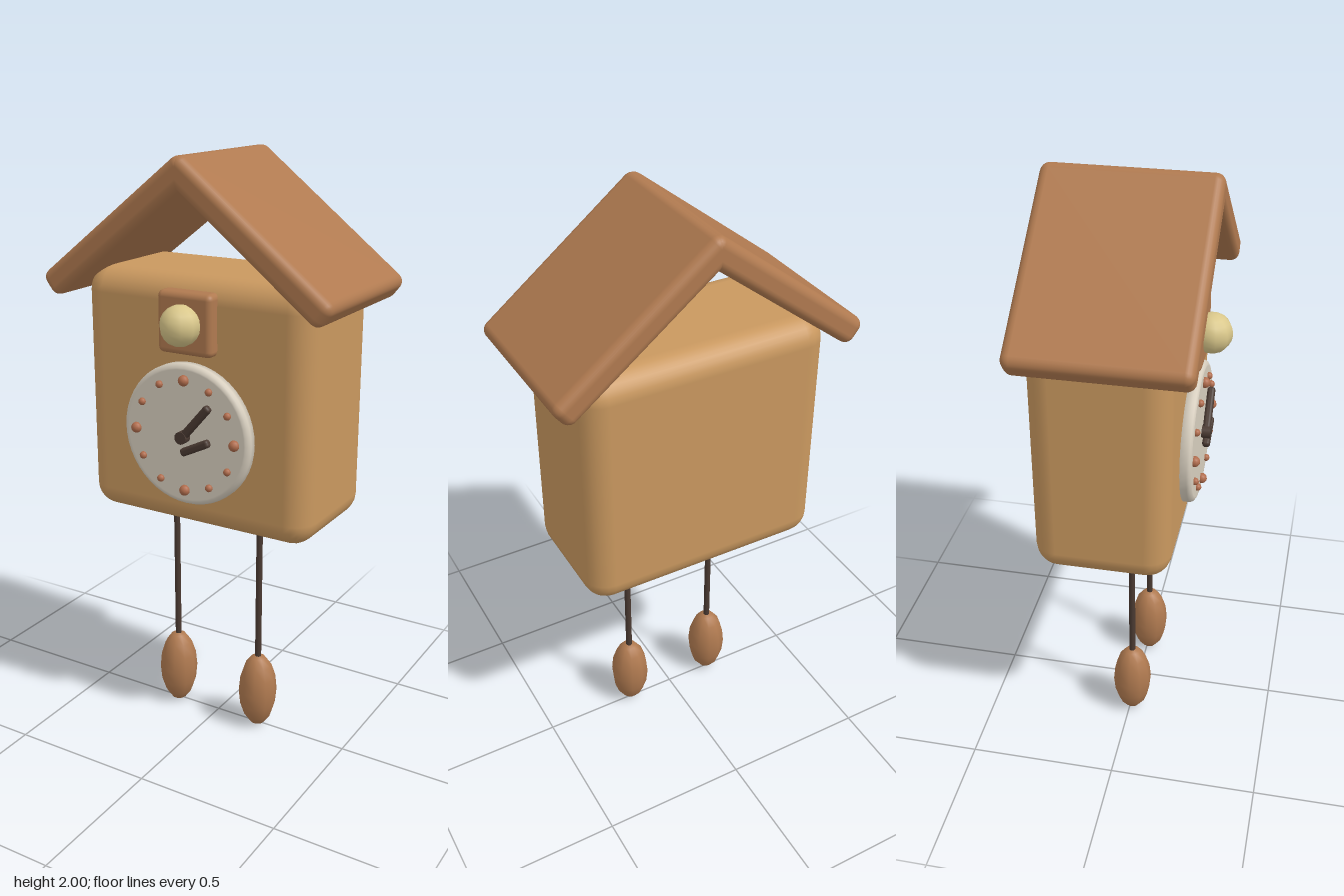
import * as THREE from 'three';
import { RoundedBoxGeometry } from 'three/addons/geometries/RoundedBoxGeometry.js';

const mat = (color) => new THREE.MeshStandardMaterial({ color });

export function createModel() {
  const model = new THREE.Group();
  const wood = mat(0xc9985f), darkWood = mat(0xb07a50), ivory = mat(0xd8cfbf);
  const copper = mat(0xb06c4c), iron = mat(0x4a3a32), straw = mat(0xd9c78a);

  const add = (name, geometry, material, x, y, z, parent = model) => {
    const mesh = new THREE.Mesh(geometry, material);
    mesh.name = name;
    mesh.position.set(x, y, z);
    parent.add(mesh);
    return mesh;
  };
  const rbox = (w, h, d, r) => new RoundedBoxGeometry(w, h, d, 3, r);

  // Case
  add('case', rbox(0.84, 0.84, 0.445, 0.08), wood, 0, 1.21, -0.047);

  // Two roof slabs meeting at the ridge
  for (const side of [-1, 1]) {
    const slab = add(side > 0 ? 'leftRoof' : 'rightRoof', rbox(0.673, 0.09, 0.557, 0.03), darkWood, side * 0.236, 1.77, -0.022);
    slab.rotation.z = -side * 0.66;
  }

  // Bird door with the round bird head
  add('birdDoor', rbox(0.2, 0.2, 0.08, 0.02), darkWood, 0, 1.49, 0.175);
  add('birdHead', new THREE.SphereGeometry(0.066, 10, 10), straw, 0, 1.49, 0.233).rotation.y = Math.PI / 2;

  // Dial: a turned disc with a rounded rim
  const dial = new THREE.Group();
  dial.name = 'dial';
  dial.position.set(0, 1.125, 0);
  model.add(dial);
  const rim = [[0, 0.15], [0.237, 0.15], [0.237, 0.197], [0.233, 0.206], [0.224, 0.212], [0.218, 0.212], [0, 0.212]];
  const disc = new THREE.LatheGeometry(rim.map(([r, h]) => new THREE.Vector2(r, h)), 48);
  add('dialFace', disc, ivory, 0, 0, 0, dial).rotation.x = Math.PI / 2;

  // Hour studs, larger at the quarters
  for (let i = 0; i < 12; i++) {
    const a = (i * Math.PI) / 6, r = i % 3 ? 0.0125 : 0.018;
    add('hourStud', new THREE.SphereGeometry(r, 12, 8), copper, 0.185 * Math.sin(a), 0.185 * Math.cos(a), 0.216, dial);
  }

  // Hands and hub
  add('minuteHand', rbox(0.16, 0.027, 0.026, 0.01), iron, 0.047, 0.054, 0.226, dial).rotation.z = 0.86;
  add('hourHand', rbox(0.115, 0.027, 0.026, 0.01), iron, 0.048, -0.028, 0.226, dial).rotation.z = 0.46;
  add('hub', new THREE.CylinderGeometry(0.021, 0.021, 0.03, 16), iron, 0, 0, 0.226, dial).rotation.x = Math.PI / 2;

  // Hanging cords with cone-shaped weights
  for (const side of [-1, 1]) {
    add('cord', new THREE.CylinderGeometry(0.011, 0.011, 0.57, 10), iron, side * 0.167, 0.555, 0.008);
    const weight = add('weight', new THREE.SphereGeometry(0.068, 10, 8), darkWood, side * 0.167, 0.143, 0.008);
    weight.scale.y = 2.05;
  }

  // Settle exactly on the ground
  const box = new THREE.Box3().setFromObject(model);
  for (const part of model.children) part.position.y -= box.min.y;
  return model;
}
